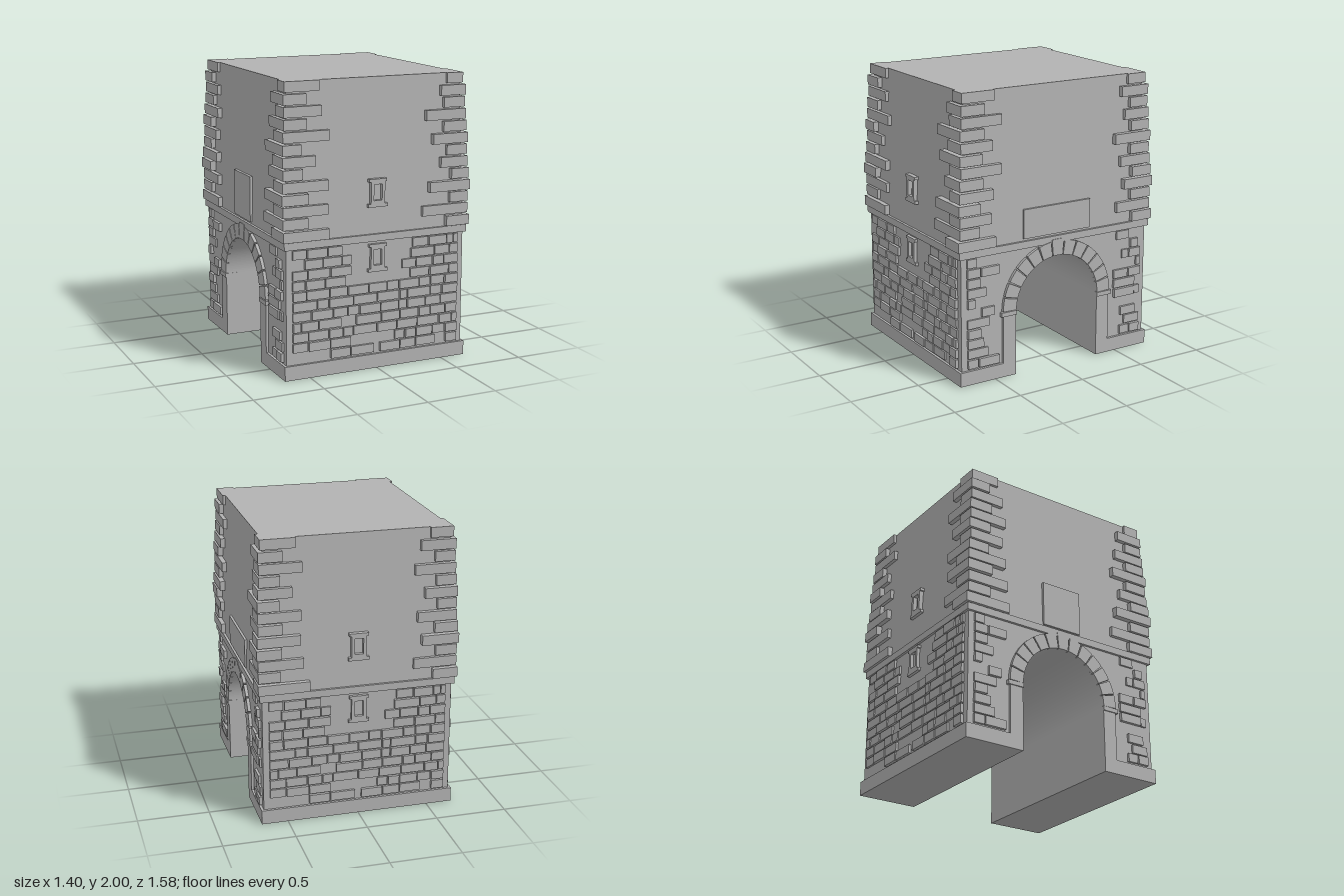
import * as THREE from 'three';

export function createModel() {
  const tower = new THREE.Group();
  tower.name = 'gateTower';
  const stone = new THREE.MeshStandardMaterial({ color: 0xb2b2b2 });
  stone.name = 'grey stone';

  const add = (parent, name, geometry) => {
    const m = new THREE.Mesh(geometry, stone);
    m.name = name;
    parent.add(m);
    return m;
  };
  const group = (name, parent = tower) => {
    const g = new THREE.Group();
    g.name = name;
    parent.add(g);
    return g;
  };
  // Box given by its limits on each axis
  const block = (parent, name, x0, x1, y0, y1, z0, z1) => {
    const m = add(parent, name, new THREE.BoxGeometry(Math.abs(x1 - x0), y1 - y0, Math.abs(z1 - z0)));
    m.position.set((x0 + x1) / 2, (y0 + y1) / 2, (z0 + z1) / 2);
    return m;
  };
  // Extrude a (z, y) outline along x between two limits
  const extrudeX = (shape, x0, x1) =>
    new THREE.ExtrudeGeometry(shape, { depth: x1 - x0, bevelEnabled: false, curveSegments: 40 })
      .rotateY(Math.PI / 2).translate(x0, 0, 0);

  const WX = 0.665, WZ = 0.755, BX = 0.683, BZ = 0.773;
  const R = 0.335, SPRING = 0.47;

  // Lower storey with the arched passage
  const lower = new THREE.Shape();
  lower.moveTo(-WZ, 0);
  lower.lineTo(-R, 0);
  lower.lineTo(-R, SPRING);
  lower.absarc(0, SPRING, R, Math.PI, 0, true);
  lower.lineTo(R, 0);
  lower.lineTo(WZ, 0);
  lower.lineTo(WZ, 0.9);
  lower.lineTo(-WZ, 0.9);
  lower.closePath();
  add(tower, 'lowerWalls', extrudeX(lower, -WX, WX));
  for (const s of [-1, 1]) block(tower, 'plinth', -BX, BX, 0, 0.1, s * R, s * BZ);
  block(tower, 'stringCourse', -BX, BX, 0.895, 0.945, -BZ, BZ);

  // Upper storey, tapering to the flat top
  const upper = new THREE.BoxGeometry(2 * WX, 1.06, 2 * WZ).translate(0, 1.47, 0);
  const p = upper.attributes.position;
  for (let i = 0; i < p.count; i++) {
    if (p.getY(i) > 1.5) p.setXYZ(i, Math.sign(p.getX(i)) * 0.638, 2, Math.sign(p.getZ(i)) * 0.71);
  }
  upper.computeVertexNormals();
  add(tower, 'upperWalls', upper);

  // Corner stones: [inner x, inner z] reach of each course, top to bottom
  const corners = [
    { sx: -1, sz: 1,
      x: [.41, .51, .40, .51, .35, .555, .45, .545, .365, .51, .365, .51, .365],
      z: [.61, .53, .60, .50, .59, .46, .58, .52, .61, .47, .60, .43, .58] },
    { sx: 1, sz: 1,
      x: [.535, .485, .51, .37, .505, .42, .53, .48, .56, .39, .55, .34, .52],
      z: [.49, .57, .44, .575, .515, .595, .45, .59, .515, .62, .53, .62, .50] },
    { sx: 1, sz: -1,
      x: [.42, .51, .38, .53, .45, .54, .39, .52, .40, .53, .38, .54, .34],
      z: [.585, .525, .60, .555, .605, .47, .60, .52, .615, .545, .605, .49, .62] },
    { sx: -1, sz: -1,
      x: [.50, .43, .53, .39, .54, .46, .55, .41, .53, .44, .54, .385, .52],
      z: [.52, .60, .49, .58, .47, .60, .50, .61, .48, .59, .46, .60, .45] },
  ];
  const outX = [.658, .673, .67, .673, .68, .687, .685, .685, .693, .70, .69, .69, .695];
  const outZ = [.733, .747, .745, .755, .755, .767, .758, .768, .775, .785, .773, .773, .788];
  const quoins = group('cornerStones');
  for (const c of corners) {
    c.x.forEach((ix, i) => {
      const top = 2 - 0.0817 * i;
      block(quoins, 'cornerStone', c.sx * ix, c.sx * outX[i], top - 0.07, top, c.sz * c.z[i], c.sz * outZ[i]);
    });
  }

  // Slit window surround with a stepped sill and lintel
  const frame = new THREE.Shape([
    [-.072, 0], [.072, 0], [.072, .022], [.052, .022], [.052, .172], [.066, .172],
    [.066, .192], [-.066, .192], [-.066, .172], [-.052, .172], [-.052, .022], [-.072, .022],
  ].map(([x, y]) => new THREE.Vector2(x, y)));
  frame.holes.push(new THREE.Path([[-.03, .045], [-.03, .155], [.03, .155], [.03, .045]]
    .map(([x, y]) => new THREE.Vector2(x, y))));
  const frameGeo = new THREE.ExtrudeGeometry(frame, { depth: 0.045, bevelEnabled: false });

  // Wall blocks by course, top to bottom: runs of joint positions along the wall
  const frontCourses = [
    [[-.625, -.52, -.37, -.26], [.265, .39, .53, .585, .625]],
    [[-.54, -.405, -.265, -.19], [.25, .435, .555, .625]],
    [[-.625, -.515, -.35, -.195], [.185, .295, .425, .51, .625]],
    [[-.625, -.53, -.39, -.235], [.25, .40, .55, .625]],
    [[-.625, -.525, -.355, -.22, -.065, .075, .165, .32, .41, .52, .625]],
    [[-.625, -.445, -.36, -.18, 0, .17, .23, .41, .50, .625]],
    [[-.625, -.49, -.33, -.22, -.135, .025, .165, .23, .37, .49, .625]],
    [[-.625, -.565, -.435, -.265], [-.16, .03, .175, .32, .41, .53, .625]],
    [[-.625, -.51, -.36, -.255, -.18, 0, .15, .31, .48, .58, .625]],
    [[-.625, -.51, -.35, -.195], [.135, .215, .30, .43, .53, .625]],
    [[-.35, -.20, -.02], [.02, .175, .30, .455], [.53, .625]],
  ];
  const sideCourses = [
    [[.635, .715], [-.615, -.50]], [[.465, .61, .715], [-.69, -.62]],
    [[.61, .715], [-.715, -.61, -.55]], [[.565, .715], [-.715, -.675]],
    [[.655, .715], [-.715, -.605, -.48]], [[.50, .605], [-.67, -.48]],
    [[.54, .715], [-.715, -.665, -.485]], [[.61, .715]],
    [[.585, .715], [-.68, -.545]], [[.55, .715], [-.715, -.58]],
    [[.465, .63, .715], [-.715, -.625, -.54]],
  ];
  const eachBlock = (courses, make) => courses.forEach((runs, row) => runs.forEach((run) => {
    const top = 0.888 - 0.0712 * row;
    for (let k = 0; k + 1 < run.length; k++) {
      make(run[k] + 0.004, run[k + 1] - 0.004, top - 0.061, top, 0.014 + 0.004 * ((row * 2 + k * 5) % 3));
    }
  }));

  for (const turn of [0, Math.PI]) {
    // Long face: block masonry and two slit windows
    const face = group(turn ? 'backFace' : 'frontFace');
    face.rotation.y = turn;
    eachBlock(frontCourses, (a, b, y0, y1, d) => block(face, 'wallBlock', a, b, y0, y1, WZ - 0.02, WZ + d));
    add(face, 'upperSlitWindow', frameGeo).position.set(0, 1.13, 0.727);
    add(face, 'lowerSlitWindow', frameGeo).position.set(0, 0.685, 0.733);

    // Gate face: side masonry, jambs, imposts and arch stones
    const gate = group(turn ? 'rightGateFace' : 'leftGateFace');
    gate.rotation.y = turn;
    eachBlock(sideCourses, (a, b, y0, y1, d) => block(gate, 'gateBlock', WX - 0.02, WX + d, y0, y1, a, b));
    for (const s of [-1, 1]) {
      block(gate, 'jamb', 0.6, BX, 0, 0.44, s * R, s * 0.437);
      block(gate, 'impost', 0.6, 0.691, 0.44, 0.47, s * (R - 0.001), s * 0.455);
    }
    const N = 13, step = Math.PI / N;
    for (let i = 0; i < N; i++) {
      const a0 = i * step + 0.012, a1 = (i + 1) * step - 0.012;
      const outer = i === 6 ? 0.452 : 0.44;
      const wedge = new THREE.Shape();
      wedge.absarc(0, SPRING, outer, a0, a1, false);
      wedge.absarc(0, SPRING, R, a1 + 0.004, a0 - 0.004, true);
      wedge.closePath();
      add(gate, i === 6 ? 'keystone' : 'archStone', extrudeX(wedge, 0.64, 0.687));
    }
  }

  // Plaques above the two gates
  block(tower, 'widePlaque', 0.62, 0.676, 0.96, 1.165, -0.27, 0.27);
  block(tower, 'tallPlaque', -0.678, -0.62, 0.96, 1.28, -0.155, 0.152);

  return tower;
}
